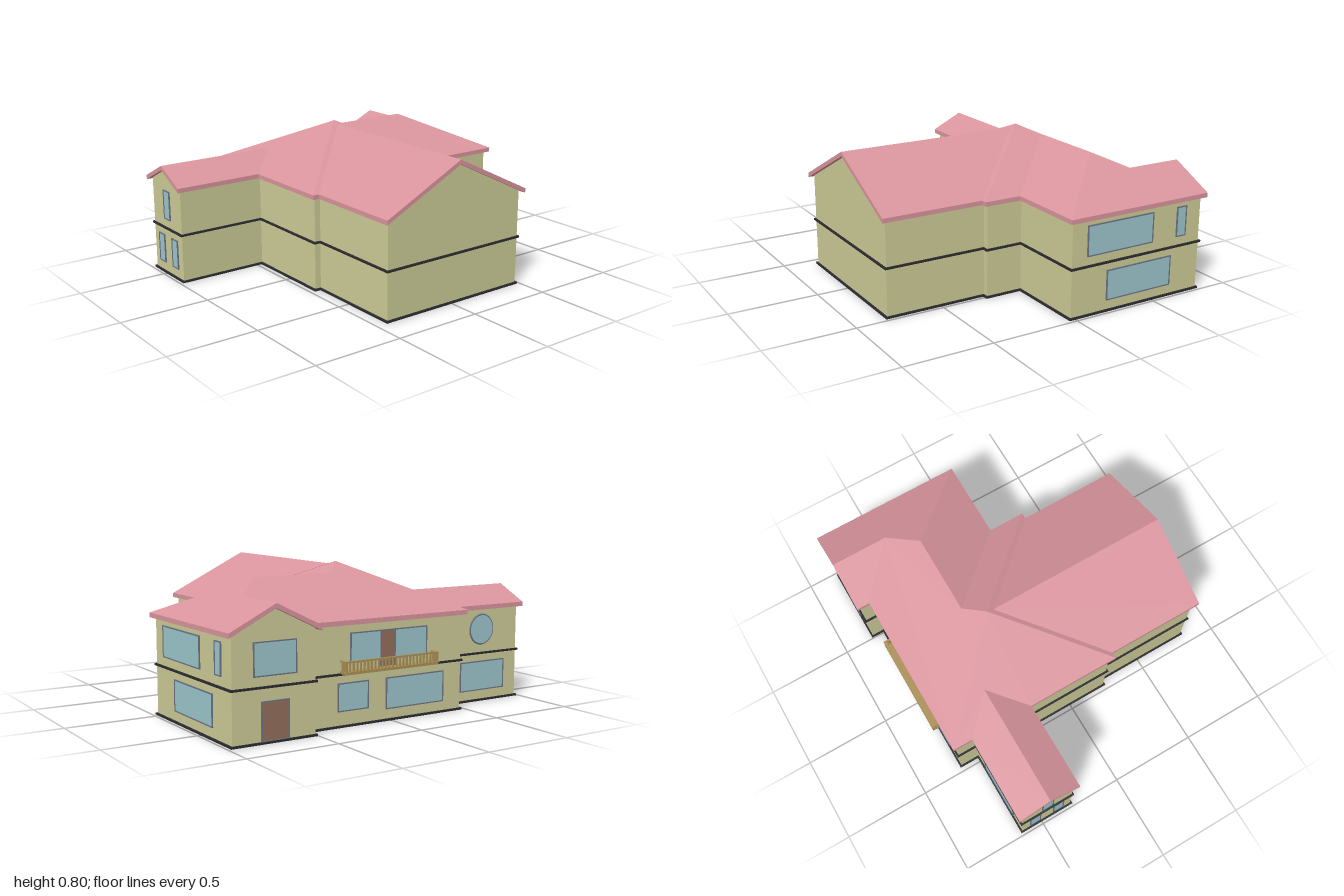
import * as THREE from 'three';

const material = (color) => new THREE.MeshStandardMaterial({ color, side: THREE.DoubleSide });
const wallMat = material(0xcccb96), roofMat = material(0xd9949d), bandMat = material(0x2c2c30);
const glassMat = material(0x9cc6cc), frameMat = material(0x6c7484), doorMat = material(0x93705c), woodMat = material(0xab9057);

const EAVE = 0.55, SLOPE = 0.488, THICK = 0.025, INSET = 0.025;
const RX = 0.0225; // ridge of the front wing

// eave outline [x, z, rise run above the eave]; ridge ends carry a run
const outline = [
  [-0.49, -0.765], [0.49, -0.765], [0.49, -0.84], [0.745, -0.84, 0.255], [1, -0.84], [1, 0.05],
  [0.535, 0.05], [0.535, 0.2625], [0.5, 0.2625], [0.5, 0.84], [RX, 0.84, 0.4775], [-0.455, 0.84],
  [-0.455, 0.2625], [-0.49, 0.2625], [-0.49, -0.28], [-1, -0.28], [-1, -0.465, 0.185], [-1, -0.65], [-0.49, -0.65],
];

// roof slopes: run from the eave as a function of (x, z), then the plan polygon
const slopes = [
  ['mainBackSlope', (x, z) => z + 0.765, [[-0.49, -0.765], [0.49, -0.765], [0.745, -0.51], [0.5925, -0.3575], [0.1275, -0.3575], [RX, -0.2525]]],
  ['mainLeftSlope', (x) => x + 0.49, [[-0.49, -0.765], [RX, -0.2525], [-0.49, 0.2625], [-0.49, -0.28], [-0.305, -0.465], [-0.49, -0.65]]],
  ['mainFrontSlope', (x, z) => 0.2625 - z, [[RX, -0.2525], [-0.49, 0.2625], [-0.455, 0.2625], [RX, -0.215], [0.5, 0.2625], [0.535, 0.2625]]],
  ['mainRightSlope', (x) => 0.535 - x, [[RX, -0.2525], [0.535, 0.2625], [0.535, 0.05], [0.1275, -0.3575]]],
  ['frontWingSlopeA', (x) => x + 0.455, [[-0.455, 0.2625], [-0.455, 0.84], [RX, 0.84], [RX, -0.215]]],
  ['frontWingSlopeB', (x) => 0.5 - x, [[0.5, 0.2625], [0.5, 0.84], [RX, 0.84], [RX, -0.215]]],
  ['sideWingFrontSlope', (x, z) => 0.05 - z, [[0.535, 0.05], [1, 0.05], [0.5925, -0.3575], [0.1275, -0.3575]]],
  ['sideWingOuterSlope', (x) => 1 - x, [[1, 0.05], [1, -0.84], [0.745, -0.84], [0.745, -0.51], [0.5925, -0.3575]]],
  ['sideWingInnerSlope', (x) => x - 0.49, [[0.49, -0.765], [0.745, -0.51], [0.745, -0.84], [0.49, -0.84]]],
  ['smallWingBackSlope', (x, z) => z + 0.65, [[-1, -0.65], [-1, -0.465], [-0.305, -0.465], [-0.49, -0.65]]],
  ['smallWingFrontSlope', (x, z) => -0.28 - z, [[-1, -0.28], [-1, -0.465], [-0.305, -0.465], [-0.49, -0.28]]],
];

function meshOf(points, name, mat) {
  const g = new THREE.BufferGeometry().setFromPoints(points);
  g.computeVertexNormals();
  const m = new THREE.Mesh(g, mat);
  m.name = name;
  return m;
}

function box(parent, name, mat, size, pos) {
  const m = new THREE.Mesh(new THREE.BoxGeometry(...size), mat);
  m.name = name;
  m.position.set(...pos);
  parent.add(m);
  return m;
}

// top and underside of one roof slope
function roofSlope(name, run, plan) {
  const v = plan.map(([x, z]) => new THREE.Vector3(x, EAVE + SLOPE * run(x, z), z));
  const down = new THREE.Vector3(0, THICK, 0), pts = [];
  for (const [a, b, c] of THREE.ShapeUtils.triangulateShape(plan.map((p) => new THREE.Vector2(...p)), [])) {
    const up = v[b].clone().sub(v[a]).cross(v[c].clone().sub(v[a])).y > 0;
    const t = up ? [v[a], v[b], v[c]] : [v[a], v[c], v[b]];
    pts.push(...t, ...[t[0], t[2], t[1]].map((p) => p.clone().sub(down)));
  }
  return meshOf(pts, name, roofMat);
}

// vertical skirt around a closed loop of {x, z, low, high}
function skirt(loop, name, mat) {
  const pts = [];
  loop.forEach((a, i) => {
    const b = loop[(i + 1) % loop.length];
    const [a0, a1, b0, b1] = [[a, a.low], [a, a.high], [b, b.low], [b, b.high]].map(([p, y]) => new THREE.Vector3(p.x, y, p.z));
    pts.push(a0, a1, b1, a0, b1, b0);
  });
  return meshOf(pts, name, mat);
}

// outline moved inward to the wall line
function wallLoop() {
  const n = outline.length;
  const normal = (i) => {
    const a = outline[(i + n) % n], b = outline[(i + 1) % n];
    return [Math.sign(b[1] - a[1]), -Math.sign(b[0] - a[0])];
  };
  return outline.map(([x, z, run], i) => {
    const p = normal(i - 1), q = normal(i);
    const straight = p[0] === q[0] && p[1] === q[1];
    const off = straight ? q : [p[0] + q[0], p[1] + q[1]];
    return { x: x - INSET * off[0], z: z - INSET * off[1], low: 0, high: EAVE - THICK + SLOPE * (run ?? INSET) };
  });
}

// framed panel on a wall; axis is the wall's normal, u runs along the wall
function panel(parent, name, mat, axis, at, u0, u1, y0, y1) {
  const g = new THREE.Group();
  g.name = name;
  const w = u1 - u0, h = y1 - y0, f = 0.006;
  box(g, 'pane', mat, [w, h, 0.008], [0, 0, 0]);
  for (const s of [-1, 1]) {
    box(g, 'frameSide', frameMat, [f, h + f, 0.014], [s * w / 2, 0, 0]);
    box(g, 'frameRail', frameMat, [w + f, f, 0.014], [0, s * h / 2, 0]);
  }
  const u = (u0 + u1) / 2, y = (y0 + y1) / 2;
  if (axis === 'x') {
    g.rotation.y = Math.PI / 2;
    g.position.set(at, y, u);
  } else g.position.set(u, y, at);
  parent.add(g);
}

export function createModel() {
  const house = new THREE.Group();
  house.name = 'house';

  // roof
  const roof = new THREE.Group();
  roof.name = 'roof';
  slopes.forEach((s) => roof.add(roofSlope(...s)));
  roof.add(skirt(outline.map(([x, z, run = 0]) => ({ x, z, low: EAVE - THICK + SLOPE * run, high: EAVE + SLOPE * run })), 'fascia', roofMat));
  house.add(roof);

  // walls and dark bands at the ground and upper floor
  const loop = wallLoop();
  house.add(skirt(loop, 'walls', wallMat));
  const bands = new THREE.Group();
  bands.name = 'floorBands';
  for (const y of [0.006, 0.275]) loop.forEach((a, i) => {
    const b = loop[(i + 1) % loop.length], t = 0.02;
    box(bands, 'band', bandMat, [Math.abs(a.x - b.x) + t, 0.011, Math.abs(a.z - b.z) + t], [(a.x + b.x) / 2, y, (a.z + b.z) / 2]);
  });
  house.add(bands);

  // windows: axis, wall position, extent along the wall, height
  const windows = [
    ['x', 0.975, -0.49, -0.07, 0.33, 0.492], ['x', 0.975, -0.715, -0.655, 0.33, 0.492], ['x', 0.975, -0.62, -0.2, 0.065, 0.227],
    ['z', -0.815, 0.625, 0.858, 0.33, 0.492],
    ['z', -0.74, 0.148, 0.332, 0.085, 0.227], ['z', -0.74, -0.343, 0.032, 0.065, 0.227],
    ['z', -0.74, 0.07, 0.257, 0.33, 0.48], ['z', -0.74, -0.227, -0.02, 0.33, 0.48],
    ['z', -0.625, -0.88, -0.565, 0.065, 0.227],
    ['x', -0.975, -0.495, -0.43, 0.33, 0.492], ['x', -0.975, -0.57, -0.508, 0.065, 0.227], ['x', -0.975, -0.42, -0.358, 0.065, 0.227],
  ];
  windows.forEach((w) => panel(house, 'window', glassMat, ...w));
  panel(house, 'backDoor', doorMat, 'z', -0.815, 0.667, 0.817, 0.012, 0.205);
  panel(house, 'balconyDoor', doorMat, 'z', -0.74, -0.02, 0.07, 0.28, 0.48);

  // round window
  const round = new THREE.Group();
  round.name = 'roundWindow';
  const pane = new THREE.Mesh(new THREE.CylinderGeometry(0.083, 0.083, 0.008, 32).rotateX(Math.PI / 2), glassMat);
  pane.name = 'pane';
  const ring = new THREE.Mesh(new THREE.TorusGeometry(0.083, 0.005, 6, 32), frameMat);
  ring.name = 'frame';
  round.add(pane, ring);
  round.position.set(-0.715, 0.41, -0.625);
  house.add(round);

  // balcony with balusters
  const balcony = new THREE.Group();
  balcony.name = 'balcony';
  const x0 = -0.27, x1 = 0.32, mid = (x0 + x1) / 2, len = x1 - x0, front = -0.788;
  box(balcony, 'slab', woodMat, [len, 0.014, 0.055], [mid, 0.285, -0.7675]);
  box(balcony, 'handrail', woodMat, [len, 0.009, 0.012], [mid, 0.342, front]);
  for (const x of [x0 + 0.006, x1 - 0.006]) box(balcony, 'sideRail', woodMat, [0.012, 0.009, 0.05], [x, 0.342, -0.765]);
  const count = 26;
  for (let i = 0; i <= count; i++) {
    const end = i === 0 || i === count;
    box(balcony, 'baluster', woodMat, [end ? 0.012 : 0.008, 0.05, 0.008], [x0 + 0.006 + (len - 0.012) * i / count, 0.315, front]);
  }
  for (const x of [x0 + 0.006, x1 - 0.006]) for (const z of [-0.755, -0.772]) box(balcony, 'sideBaluster', woodMat, [0.008, 0.05, 0.008], [x, 0.315, z]);
  house.add(balcony);

  return house;
}
